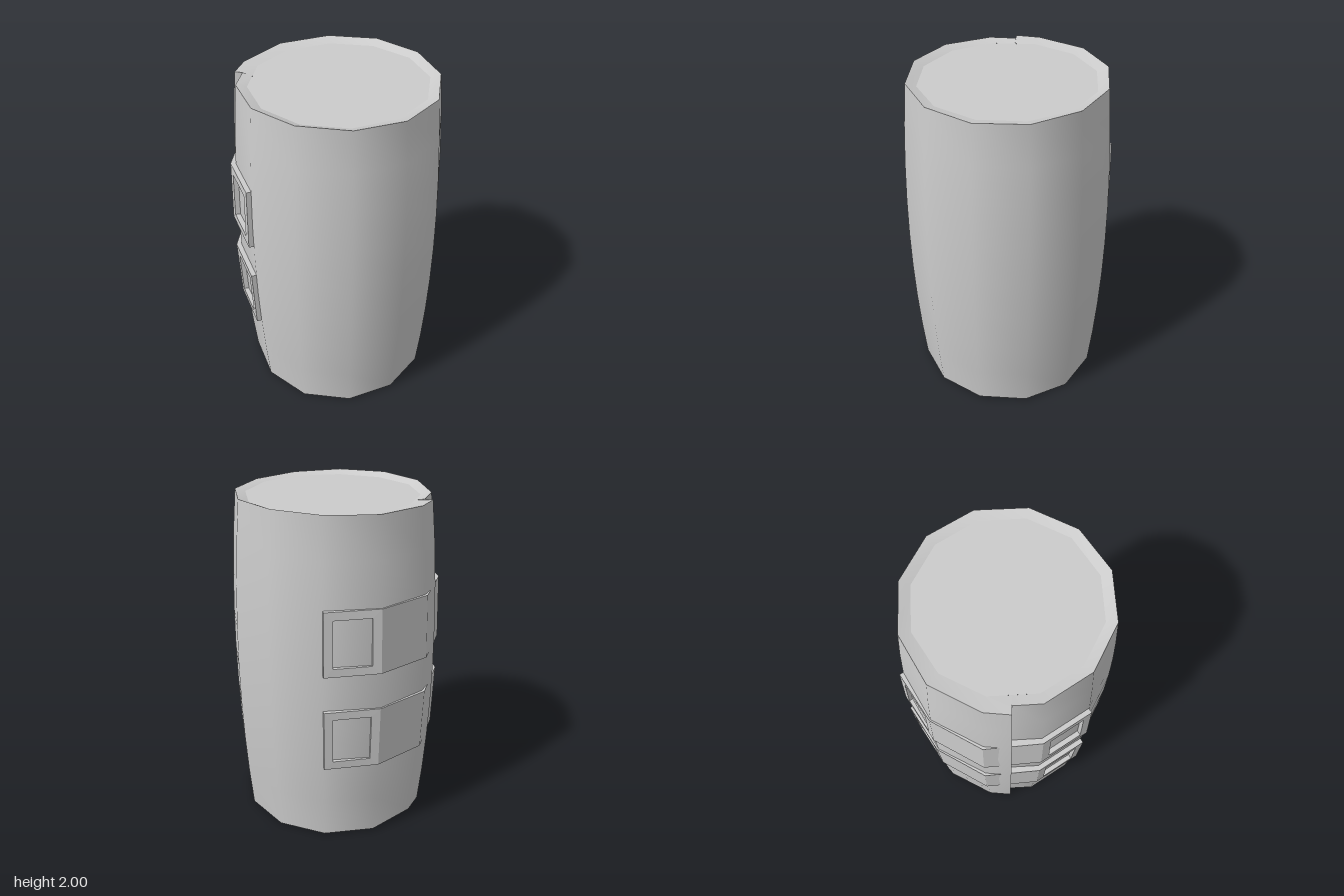
import * as THREE from 'three';
import { toCreasedNormals } from 'three/addons/utils/BufferGeometryUtils.js';

const CX = 0.02; // axis of the barrel-shaped body
const bulge = (y) => 0.615 - 0.05 * (y - 1) ** 2;

// Cross-section as [angle in degrees, radius at the ends]; the step at 166 is the overlapping flap
const section = [
  [0, 0.565], [30, 0.565], [60, 0.565], [90, 0.565], [120, 0.565], [150, 0.565],
  [166, 0.546], [166, 0.592], [180, 0.592], [210, 0.588], [240, 0.572],
  [270, 0.565], [300, 0.565], [330, 0.565],
];

// Strap corner points [x, z], from the back round the right side to the front
const strapOuter = [[-0.31, -0.555], [-0.54, -0.325], [-0.64, 0], [-0.54, 0.32], [-0.31, 0.55]];
const strapInner = [[-0.28, -0.525], [-0.505, -0.3], [-0.6, 0], [-0.5, 0.298], [-0.28, 0.52]];

// Wrapped sleeve with sloping rims at both ends
function sleeveGeometry() {
  const heights = [0, 0.25, 0.5, 0.75, 1, 1.25, 1.5, 1.75, 2];
  const rings = heights.length + 2;
  const n = section.length;
  const pos = [], index = [];
  for (let j = 0; j < rings; j++) {
    const lip = j === 0 || j === rings - 1;
    for (const [deg, base] of section) {
      const a = THREE.MathUtils.degToRad(deg);
      let r, y;
      if (lip) {
        r = deg === 166 ? 0.488 : 0.505;
        y = j === 0 ? 0.025 : 1.975;
      } else {
        y = heights[j - 1];
        r = base * bulge(y) / 0.565;
        // gentle wave along the end edges
        y += (1 - y) ** 9 * 0.007 * (1 + Math.cos(2 * a));
      }
      pos.push(CX + r * Math.cos(a), y, r * Math.sin(a));
    }
  }
  for (let j = 0; j < rings - 1; j++) {
    for (let i = 0; i < n; i++) {
      const k = (i + 1) % n;
      const a = j * n + i, b = a + n, c = (j + 1) * n + k, d = j * n + k;
      index.push(a, b, c, a, c, d);
    }
  }
  const g = new THREE.BufferGeometry();
  g.setAttribute('position', new THREE.Float32BufferAttribute(pos, 3));
  g.setIndex(index);
  return toCreasedNormals(g, 0.75);
}

const rectangle = (Type, x0, x1, y0, y1) => new Type([
  new THREE.Vector2(x0, y0), new THREE.Vector2(x1, y0),
  new THREE.Vector2(x1, y1), new THREE.Vector2(x0, y1),
]);

// One straight panel of a strap, extruded flat and then moved onto the body
function strapPanel(i, y0, y1, hasWindow) {
  const shape = rectangle(THREE.Shape, 0, 1, y0, y1);
  if (hasWindow) shape.holes.push(rectangle(THREE.Path, 0.16, 0.84, y0 + 0.05, y1 - 0.05));
  const g = new THREE.ExtrudeGeometry(shape, { depth: 1, bevelEnabled: false });
  const p = g.attributes.position;
  const lerp = THREE.MathUtils.lerp;
  for (let v = 0; v < p.count; v++) {
    const s = p.getX(v), y = p.getY(v), d = p.getZ(v);
    const k = bulge(y) / 0.614; // lean with the body
    const [x, z] = [0, 1].map((c) => lerp(
      lerp(strapInner[i][c], strapInner[i + 1][c], s),
      lerp(strapOuter[i][c], strapOuter[i + 1][c], s), d));
    p.setXYZ(v, CX + (x - CX) * k, y, z * k);
  }
  g.computeVertexNormals();
  return g;
}

export function createModel() {
  const model = new THREE.Group();
  model.name = 'strappedSleeve';
  const grey = new THREE.MeshStandardMaterial({ color: 0xcccccc });
  grey.name = 'light grey';

  const add = (parent, geometry, name) => {
    const mesh = new THREE.Mesh(geometry, grey);
    mesh.name = name;
    parent.add(mesh);
    return mesh;
  };

  add(model, sleeveGeometry(), 'sleeve');

  // End caps
  for (const [name, y, turn] of [['topCap', 1.975, -1], ['bottomCap', 0.025, 1]]) {
    const cap = new THREE.CircleGeometry(0.505, 12);
    cap.rotateX(turn * Math.PI / 2);
    cap.translate(CX, y, 0);
    add(model, cap, name);
  }

  // Two straps, each with a framed window at both ends
  for (const [name, y0, y1] of [['lowerStrap', 0.51, 0.89], ['upperStrap', 1.11, 1.49]]) {
    const strap = new THREE.Group();
    strap.name = name;
    for (let i = 0; i < 4; i++) {
      const end = i === 0 || i === 3;
      add(strap, strapPanel(i, y0, y1, end), end ? 'strapBuckle' : 'strapBand');
    }
    model.add(strap);
  }
  return model;
}
